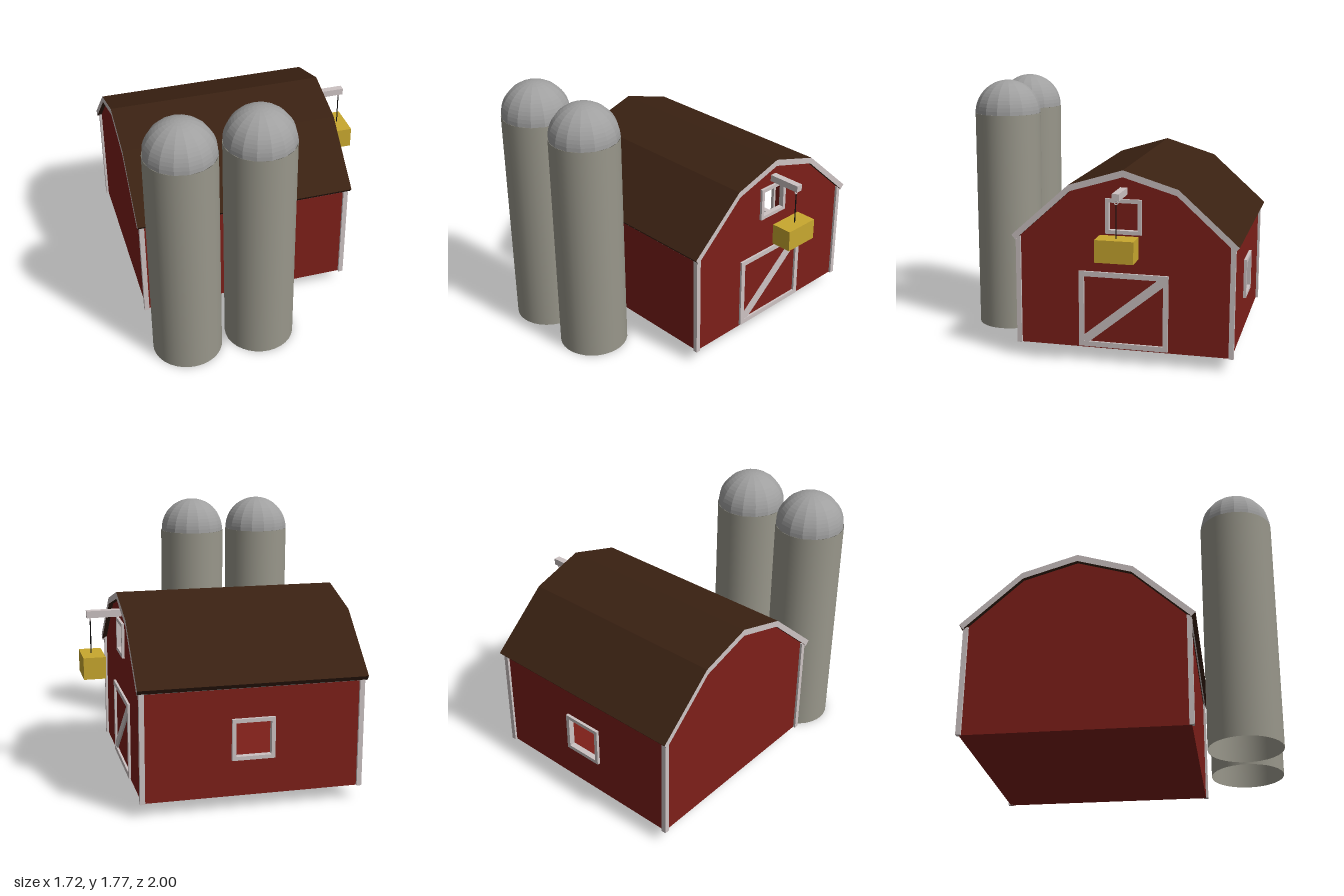
import * as THREE from 'three';

const mat = (color, extra = {}) => new THREE.MeshStandardMaterial({ color, ...extra });
const both = { side: THREE.DoubleSide };
const red = mat(0x7d1f19, both);
const trim = mat(0xcdc3c3);
const brown = mat(0x3a2112);
const concrete = mat(0x99978b, both);
const metal = mat(0xa0a0a0, { flatShading: true, ...both });
const yellow = mat(0xc9a82f);
const black = mat(0x111111);

const L = 0.71, W = 0.71, BASE = 0.09; // barn half length, half width, floor height

function add(parent, name, geometry, material, x = 0, y = 0, z = 0) {
  const mesh = new THREE.Mesh(geometry, material);
  mesh.name = name;
  mesh.position.set(x, y, z);
  parent.add(mesh);
  return mesh;
}

const box = (w, h, d) => new THREE.BoxGeometry(w, h, d);
const polygon = (pts) => new THREE.Shape(pts.map(([x, y]) => new THREE.Vector2(x, y)));
const rect = (w, h, cx = 0, cy = 0) => polygon([
  [cx - w / 2, cy - h / 2], [cx + w / 2, cy - h / 2],
  [cx + w / 2, cy + h / 2], [cx - w / 2, cy + h / 2]]);

// Extrusion centred on its depth
function extrude(shape, depth) {
  return new THREE.ExtrudeGeometry(shape, { depth, bevelEnabled: false }).translate(0, 0, -depth / 2);
}

// Rectangular border in the XY plane
function frame(w, h, bar, depth) {
  const shape = rect(w, h);
  shape.holes.push(rect(w - 2 * bar, h - 2 * bar));
  return extrude(shape, depth);
}

function buildBarn() {
  const barn = new THREE.Group();
  barn.name = 'barn';

  // Gable walls, the right-hand one with a loft window opening
  const gable = () => polygon([[-W, BASE], [W, BASE], [W, 0.815], [0.355, 1.145], [0, 1.25], [-0.355, 1.145], [-W, 0.815]]);
  const loftWall = gable();
  loftWall.holes.push(rect(0.19, 0.18, 0, 0.985));
  add(barn, 'frontGableWall', new THREE.ShapeGeometry(loftWall).rotateY(Math.PI / 2), red, L);
  add(barn, 'backGableWall', new THREE.ShapeGeometry(gable()).rotateY(-Math.PI / 2), red, -L);

  // Long walls, the rear one with a window opening
  const wallH = 0.815 - BASE;
  const longWall = () => rect(2 * L, wallH, 0, BASE + wallH / 2);
  const windowWall = longWall();
  windowWall.holes.push(rect(0.23, 0.22, 0, 0.465));
  add(barn, 'siloSideWall', new THREE.ShapeGeometry(longWall()), red, 0, 0, W);
  add(barn, 'windowSideWall', new THREE.ShapeGeometry(windowWall).rotateY(Math.PI), red, 0, 0, -W);
  add(barn, 'floor', new THREE.PlaneGeometry(2 * L, 2 * W).rotateX(Math.PI / 2), red, 0, BASE);

  // Gambrel roof slab with pale end faces and eave strips
  const outer = [[0.75, 0.83], [0.36, 1.18], [0, 1.29], [-0.36, 1.18], [-0.75, 0.83]];
  const inner = [[-0.725, 0.8], [-0.35, 1.14], [0, 1.245], [0.35, 1.14], [0.725, 0.8]];
  add(barn, 'roof', extrude(polygon([...outer, ...inner]), 1.48).rotateY(Math.PI / 2), [trim, brown]);
  for (const s of [-1, 1]) {
    const edge = [[0.75, 0.83], [0.722, 0.797], [0.716, 0.802], [0.744, 0.835]].map(([x, y]) => [x * s, y]);
    add(barn, 'eaveTrim', extrude(polygon(edge), 1.48).rotateY(Math.PI / 2), trim);
  }

  // Corner posts
  for (const sx of [-1, 1]) for (const sz of [-1, 1]) {
    add(barn, 'cornerPost', box(0.032, 0.73, 0.032), trim, sx * L, BASE + 0.365, sz * W);
  }

  // Window frames
  add(barn, 'loftWindowFrame', frame(0.24, 0.23, 0.025, 0.035).rotateY(Math.PI / 2), trim, L, 0.985);
  add(barn, 'sideWindowFrame', frame(0.28, 0.27, 0.025, 0.04), trim, 0, 0.465, -W);

  // Barn door: frame and diagonal brace
  const door = new THREE.Group();
  door.name = 'door';
  door.position.set(L, 0.355, 0);
  add(door, 'doorFrame', frame(0.595, 0.51, 0.034, 0.03).rotateY(Math.PI / 2), trim);
  const brace = polygon([[-0.264, -0.221], [-0.225, -0.221], [0.264, 0.18], [0.264, 0.221], [0.225, 0.221], [-0.264, -0.18]]);
  add(door, 'doorBrace', extrude(brace, 0.024).rotateY(Math.PI / 2), trim);
  barn.add(door);

  // Hoist beam with hook, rope and crate
  const hoist = new THREE.Group();
  hoist.name = 'hoist';
  add(hoist, 'hoistBeam', box(0.24, 0.046, 0.046), trim, 0.82, 1.152);
  add(hoist, 'hook', new THREE.TorusGeometry(0.011, 0.004, 8, 16).rotateY(Math.PI / 2), trim, 0.915, 1.115);
  add(hoist, 'rope', new THREE.CylinderGeometry(0.004, 0.004, 0.22, 8), black, 0.915, 0.995);
  add(hoist, 'crate', box(0.145, 0.145, 0.25), yellow, 0.908, 0.815);
  barn.add(hoist);

  barn.position.set(-0.12, 0, -0.25);
  return barn;
}

// Open-bottomed tower with a faceted dome
function buildSilo(x) {
  const silo = new THREE.Group();
  silo.name = 'silo';
  const r = 0.232, h = 1.543;
  add(silo, 'siloBody', new THREE.CylinderGeometry(r, r, h, 32, 1, true), concrete, 0, h / 2);
  add(silo, 'siloDome', new THREE.SphereGeometry(r, 16, 14, 0, Math.PI * 2, 0, Math.PI / 2), metal, 0, h);
  silo.position.set(x, 0, 0.768);
  return silo;
}

export function createModel() {
  const model = new THREE.Group();
  model.name = 'farmBarn';
  model.add(buildBarn(), buildSilo(-0.62), buildSilo(-0.12));
  return model;
}
